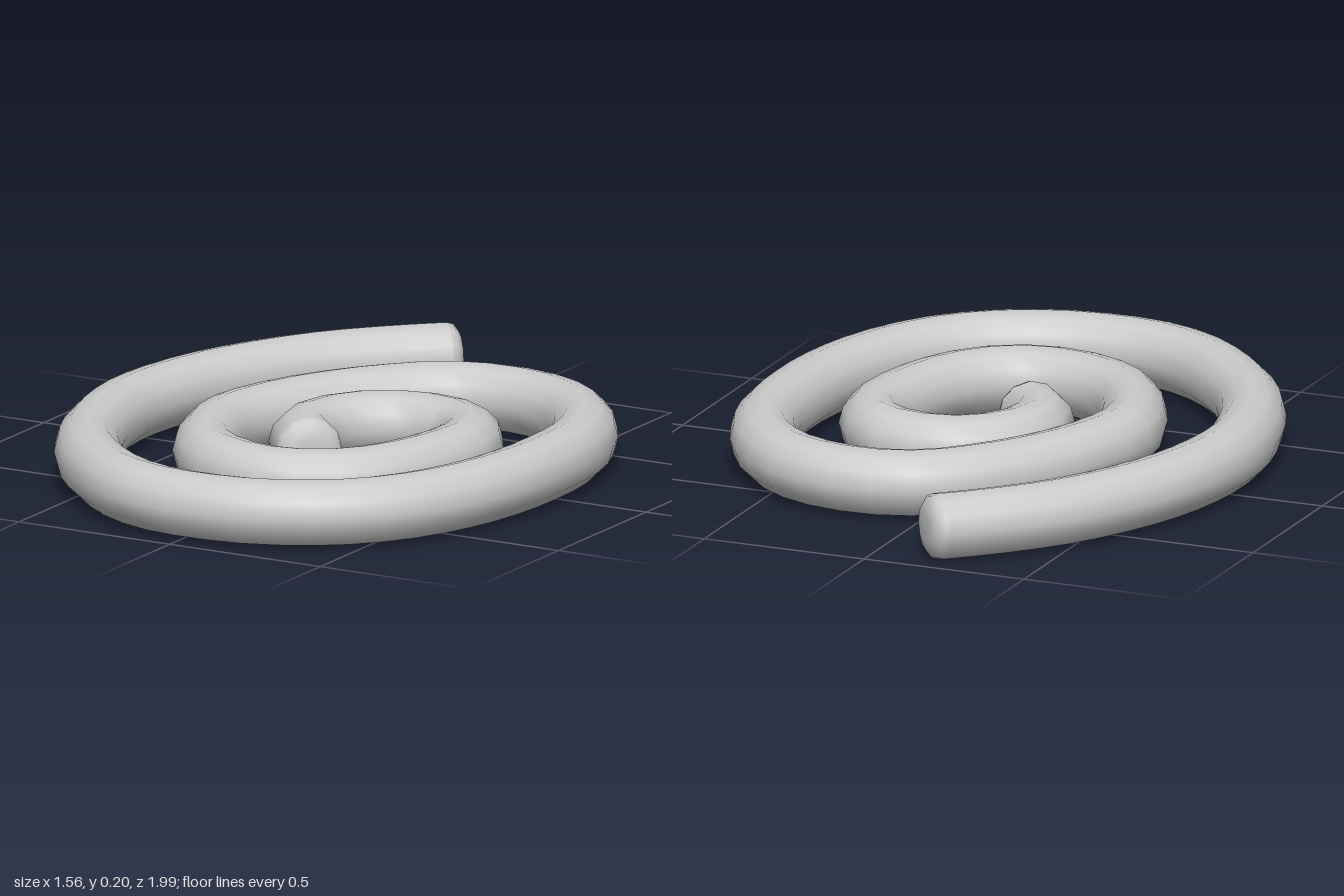
import * as THREE from 'three';

const RADIUS = 0.098;
const SIDES = 12;

// Centreline of the coil as [x, z], from the inner end outwards
const PATH = [
  [0, 0.205], [-0.06, 0.14], [-0.085, 0.04], [-0.06, -0.07], [0.01, -0.155], [0.1, -0.2], [0.21, -0.2],
  [0.31, -0.16], [0.38, -0.06], [0.4, 0.05], [0.36, 0.28], [0.29, 0.42], [0.19, 0.51], [0.06, 0.54],
  [-0.08, 0.51], [-0.2, 0.43], [-0.29, 0.28], [-0.335, 0.1], [-0.29, -0.12], [-0.2, -0.3],
  [-0.11, -0.42], [-0.01, -0.52], [0.09, -0.57], [0.2, -0.585], [0.32, -0.57], [0.45, -0.51],
  [0.56, -0.4], [0.63, -0.27], [0.67, -0.12], [0.68, 0.06], [0.675, 0.2], [0.64, 0.4],
  [0.57, 0.58], [0.48, 0.71], [0.36, 0.81], [0.2, 0.88], [0.05, 0.9], [-0.1, 0.89],
  [-0.25, 0.83], [-0.39, 0.72], [-0.52, 0.57], [-0.62, 0.37], [-0.68, 0.12], [-0.68, -0.06],
  [-0.64, -0.27], [-0.57, -0.45], [-0.46, -0.64], [-0.31, -0.81], [-0.195, -0.915],
];

export function createModel() {
  const group = new THREE.Group();
  group.name = 'spiralCoil';
  const material = new THREE.MeshStandardMaterial({ color: 0xcccccc });
  const curve = new THREE.CatmullRomCurve3(PATH.map(([x, z]) => new THREE.Vector3(x, 0.102, z)));

  // Coiled round bar
  const coil = new THREE.Mesh(new THREE.TubeGeometry(curve, 80, RADIUS, SIDES), material);
  coil.name = 'coil';
  group.add(coil);

  // Softly rounded end, turned to face along the given direction
  const profile = [[RADIUS, 0], [0.092, 0.02], [0.07, 0.036], [0.04, 0.041], [0, 0.042]]
    .map(([r, h]) => new THREE.Vector2(r, h));
  const capGeometry = new THREE.LatheGeometry(profile, SIDES);
  const up = new THREE.Vector3(0, 1, 0);
  const addCap = (name, position, direction) => {
    const cap = new THREE.Mesh(capGeometry, material);
    const side = new THREE.Vector3().crossVectors(direction, up).normalize();
    cap.quaternion.setFromRotationMatrix(new THREE.Matrix4().makeBasis(side, direction, up));
    cap.position.copy(position);
    cap.name = name;
    group.add(cap);
  };
  addCap('innerEnd', curve.getPointAt(0), curve.getTangentAt(0).negate());
  addCap('outerEnd', curve.getPointAt(1), curve.getTangentAt(1));

  return group;
}
